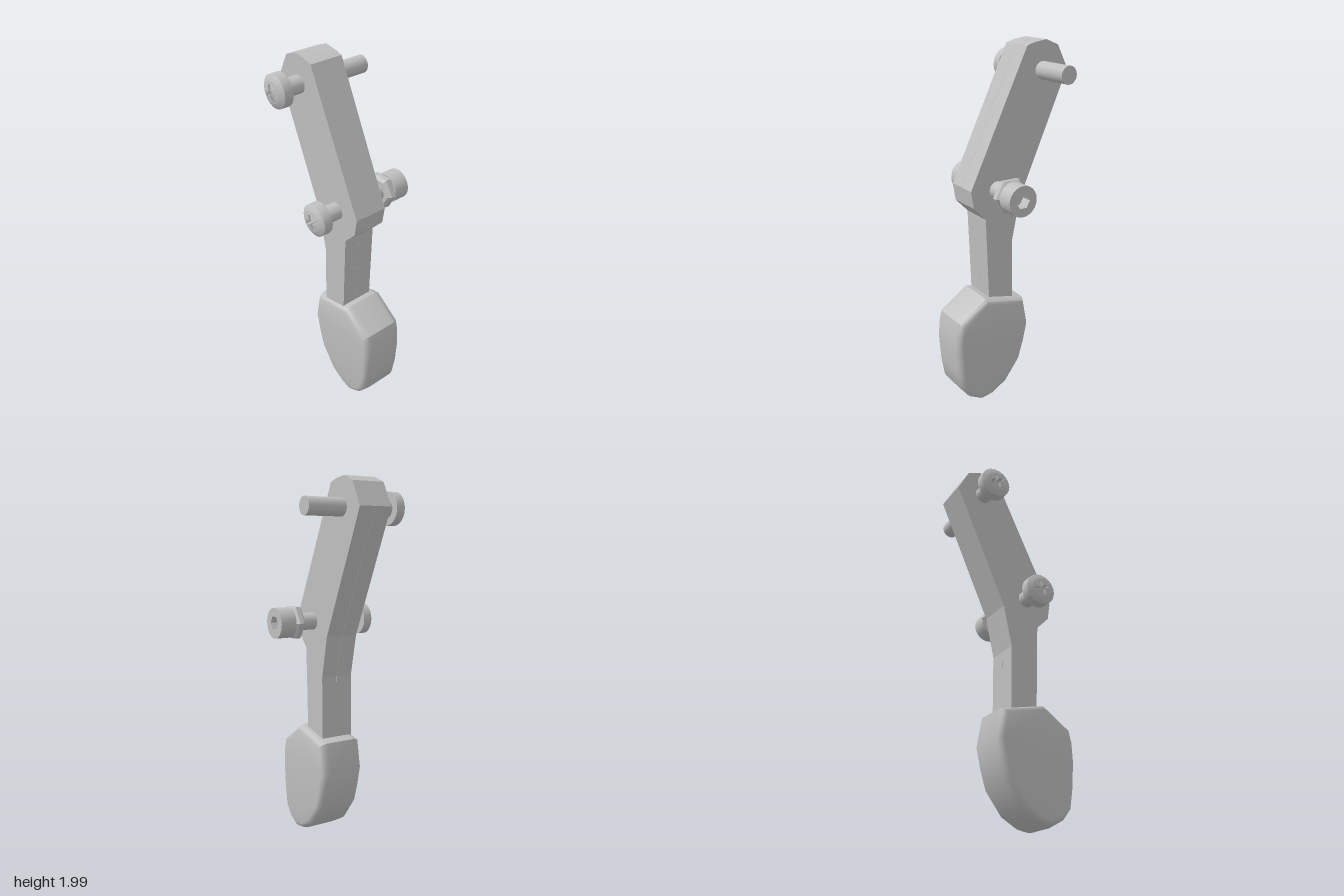
import * as THREE from 'three';
import { toCreasedNormals } from 'three/addons/utils/BufferGeometryUtils.js';

const steel = new THREE.MeshStandardMaterial({ color: 0xc0c0c0 });
steel.name = 'steel grey';

function add(parent, name, geometry, crease = 0.6) {
  const flat = geometry.index ? geometry.toNonIndexed() : geometry;
  const mesh = new THREE.Mesh(toCreasedNormals(flat, crease), steel);
  mesh.name = name;
  parent.add(mesh);
  return mesh;
}

// Side outline given as [z, y], extruded along x from x0
function sideExtrude(outline, x0, depth, bevel = {}) {
  const shape = new THREE.Shape(outline.map(([z, y]) => new THREE.Vector2(-z, y)));
  const g = new THREE.ExtrudeGeometry(shape, { depth, bevelEnabled: false, ...bevel });
  return g.rotateY(Math.PI / 2).translate(x0, 0, 0);
}

// Turned part around the x axis, profile given as [radius, x] with x rising
function turned(profile, sides) {
  return new THREE.LatheGeometry(profile.map(([r, x]) => new THREE.Vector2(r, x)), sides)
    .rotateZ(-Math.PI / 2);
}

function ring(radius, sides) {
  return Array.from({ length: sides }, (_, i) => {
    const a = (i / sides) * Math.PI * 2;
    return new THREE.Vector2(Math.cos(a) * radius, Math.sin(a) * radius);
  });
}

// Round-head screw with a cross recess, pointing along +x
function makeScrew(name, tipX) {
  const screw = new THREE.Group();
  screw.name = name;
  add(screw, 'shank', turned([[0, -0.23], [0.047, -0.23], [0.047, tipX], [0, tipX]], 24));
  add(screw, 'headRim', turned(
    [[0.055, -0.291], [0.074, -0.284], [0.088, -0.275], [0.088, -0.225], [0.04, -0.225]], 24), 0.4);

  // Crown of the head, with the cross cut through it
  const R = 0.055, l = 0.042, w = 0.01, depth = 0.026;
  const crown = new THREE.Shape(ring(R, 24));
  const cross = [[l, -w], [l, w], [w, w], [w, l], [-w, l], [-w, w],
    [-l, w], [-l, -w], [-w, -w], [-w, -l], [w, -l], [w, -w]];
  crown.holes.push(new THREE.Path(cross.map(([x, y]) => new THREE.Vector2(x, y))));
  const g = new THREE.ExtrudeGeometry(crown, { depth, bevelEnabled: false });
  const p = g.attributes.position;
  for (let i = 0; i < p.count; i++) {
    if (p.getZ(i) < depth / 2) continue;
    const r = Math.hypot(p.getX(i), p.getY(i));
    p.setZ(i, depth + 0.009 * (1 - (r / R) ** 2));
  }
  g.rotateZ(0.4).rotateY(-Math.PI / 2).translate(-0.265, 0, 0);
  add(screw, 'headCrown', g, 0.4);
  add(screw, 'recessFloor',
    new THREE.CircleGeometry(0.06, 24).rotateY(-Math.PI / 2).translate(-0.268, 0, 0));
  return screw;
}

export function createModel() {
  const model = new THREE.Group();
  model.name = 'lever';

  // Cranked arm made of two plates side by side
  const armOutline = [
    [-0.10, 1.975], [-0.15, 1.99], [-0.22, 2.0], [-0.295, 1.97], [-0.36, 1.845],
    [-0.06, 1.17], [-0.012, 0.94], [-0.015, 0.55], [0.138, 0.55],
    [0.157, 1.09], [0.23, 1.165], [0.245, 1.26],
  ];
  const arm = new THREE.Group();
  arm.name = 'arm';
  add(arm, 'rightArmPlate', sideExtrude(armOutline, -0.13, 0.0945), 0.2);
  add(arm, 'leftArmPlate', sideExtrude(armOutline, -0.035, 0.095), 0.2);
  model.add(arm);

  // Rounded paddle at the foot
  const paddleOutline = [
    [0.18, 0.642], [0.345, 0.53], [0.362, 0.46], [0.367, 0.36], [0.357, 0.22],
    [0.338, 0.11], [0.29, 0.05], [0.215, 0.01], [0.145, 0.022], [0.05, 0.075],
    [-0.045, 0.2], [-0.078, 0.31], [-0.102, 0.42], [-0.072, 0.583],
  ];
  add(model, 'paddle', sideExtrude(paddleOutline, -0.105, 0.165, {
    bevelEnabled: true, bevelThickness: 0.045, bevelSize: 0.03, bevelOffset: -0.03, bevelSegments: 3,
  }), 0.7);

  // Upper pivot screw
  const upper = makeScrew('upperScrew', 0.28);
  upper.position.set(0, 1.845, -0.2);
  model.add(upper);

  // Lower screw with its nut and socket sleeve
  const lower = makeScrew('lowerScrew', 0.17);
  lower.position.set(0, 1.245, 0.085);
  add(lower, 'nut', turned(
    [[0, 0.155], [0.08, 0.155], [0.098, 0.17], [0.098, 0.196], [0.08, 0.211], [0, 0.211]], 6), 0.2);
  const sleeve = new THREE.Shape(ring(0.083, 24));
  sleeve.holes.push(new THREE.Path(ring(0.041, 6)));
  add(lower, 'socketSleeve',
    new THREE.ExtrudeGeometry(sleeve, { depth: 0.09, bevelEnabled: false })
      .rotateY(Math.PI / 2).translate(0.21, 0, 0), 0.5);
  add(lower, 'socketFloor',
    new THREE.CircleGeometry(0.06, 24).rotateY(Math.PI / 2).translate(0.24, 0, 0));
  model.add(lower);

  return model;
}
